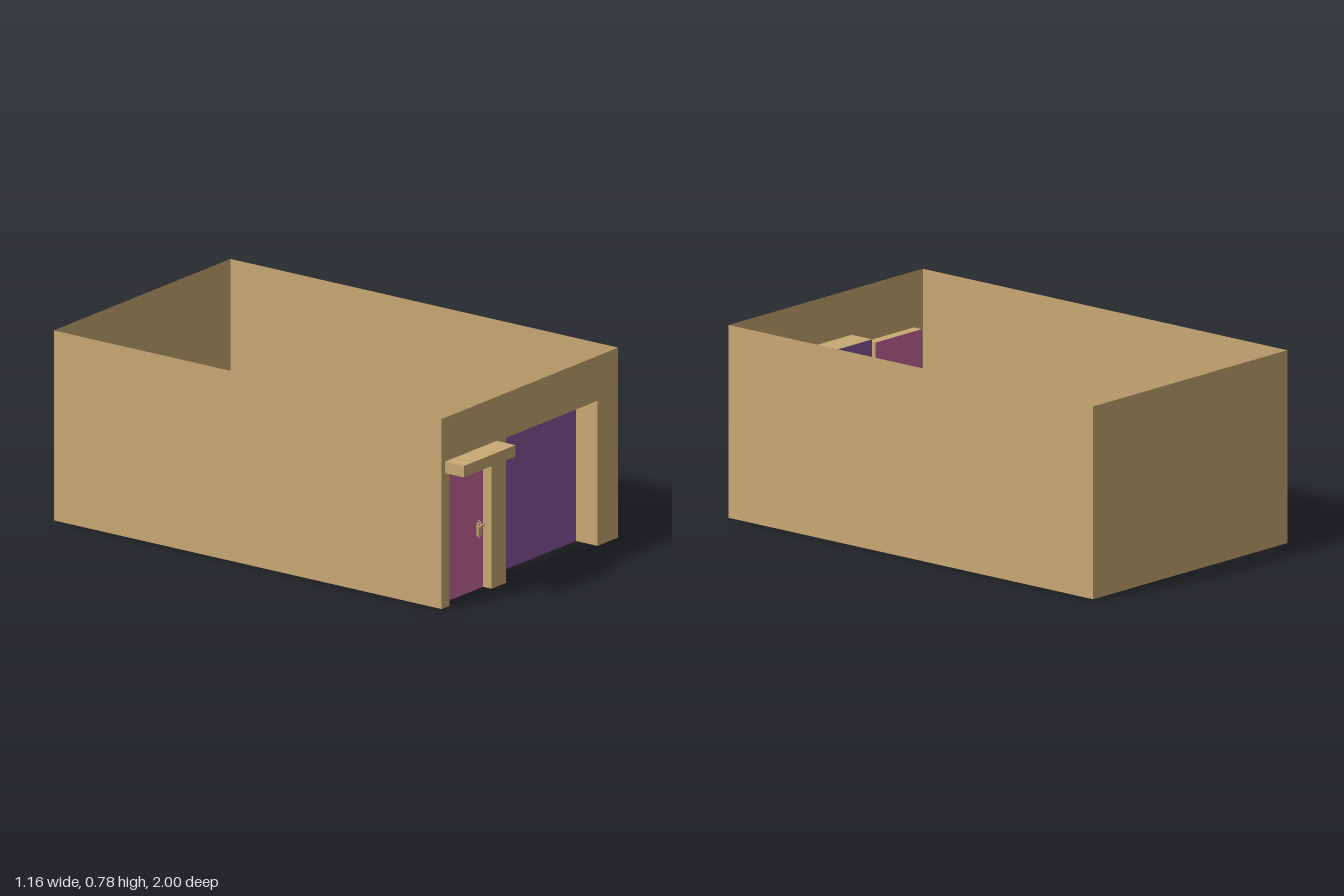
import * as THREE from 'three';

const W = 0.578, H = 0.784, FRONT = 0.907, BACK = -1;

export function createModel() {
  const group = new THREE.Group();
  group.name = 'garage';

  const mat = (name, color) => {
    const m = new THREE.MeshStandardMaterial({ color, side: THREE.DoubleSide });
    m.name = name;
    return m;
  };
  const tan = mat('tan wall', 0xc8a972);
  const purple = mat('purple garage door', 0x8758a0);
  const pink = mat('pink door', 0xc8689c);

  const add = (name, geometry, material, x, y, z, ry = 0, rx = 0) => {
    const mesh = new THREE.Mesh(geometry, material);
    mesh.name = name;
    mesh.position.set(x, y, z);
    mesh.rotation.set(rx, ry, 0);
    group.add(mesh);
    return mesh;
  };
  const plane = (w, h) => new THREE.PlaneGeometry(w, h);
  const box = (w, h, d) => new THREE.BoxGeometry(w, h, d);

  // Openings in the front wall, from left to right as seen from the front
  const openings = [
    { name: 'entrance', x0: -0.526, x1: -0.25, top: 0.556, z: 0.865, material: pink },
    { name: 'garage', x0: -0.155, x1: 0.443, top: 0.599, z: 0.8, material: purple },
  ];

  // Front wall, notched for the openings
  const outline = [[-W, H], [-W, 0]];
  for (const o of openings) outline.push([o.x0, 0], [o.x0, o.top], [o.x1, o.top], [o.x1, 0]);
  outline.push([W, 0], [W, H]);
  const shape = new THREE.Shape(outline.map(([x, y]) => new THREE.Vector2(x, y)));
  add('frontWall', new THREE.ShapeGeometry(shape), tan, 0, 0, FRONT);

  // Back and side walls; the top and floor are open
  const depth = FRONT - BACK, midZ = (FRONT + BACK) / 2;
  add('backWall', plane(2 * W, H), tan, 0, H / 2, BACK, Math.PI);
  add('leftWall', plane(depth, H), tan, W, H / 2, midZ, Math.PI / 2);
  add('rightWall', plane(depth, H), tan, -W, H / 2, midZ, -Math.PI / 2);

  // Recessed doors with their side and top reveals
  for (const o of openings) {
    const w = o.x1 - o.x0, d = FRONT - o.z, cx = (o.x0 + o.x1) / 2, cz = (FRONT + o.z) / 2;
    add(o.name + 'Door', plane(w, o.top), o.material, cx, o.top / 2, o.z);
    add(o.name + 'RightReveal', plane(d, o.top), tan, o.x0, o.top / 2, cz, Math.PI / 2);
    add(o.name + 'LeftReveal', plane(d, o.top), tan, o.x1, o.top / 2, cz, -Math.PI / 2);
    add(o.name + 'TopReveal', plane(w, d), tan, cx, o.top, cz, 0, Math.PI / 2);
  }

  // Canopy over the entrance
  add('canopy', box(0.338, 0.047, 1 - FRONT), tan, -0.387, 0.579, (1 + FRONT) / 2);

  // Door handle: plate, slim pin and lever
  add('handlePlate', box(0.022, 0.055, 0.012), tan, -0.281, 0.247, 0.869);
  add('handlePin', new THREE.CylinderGeometry(0.003, 0.003, 0.074, 8), tan, -0.281, 0.247, 0.869);
  add('handleSpindle', box(0.008, 0.008, 0.05), tan, -0.281, 0.265, 0.865);
  for (const side of [1, -1]) {
    add('handleLever', box(0.028, 0.007, 0.007), tan, -0.287, 0.266, 0.865 + side * 0.022);
  }

  return group;
}
